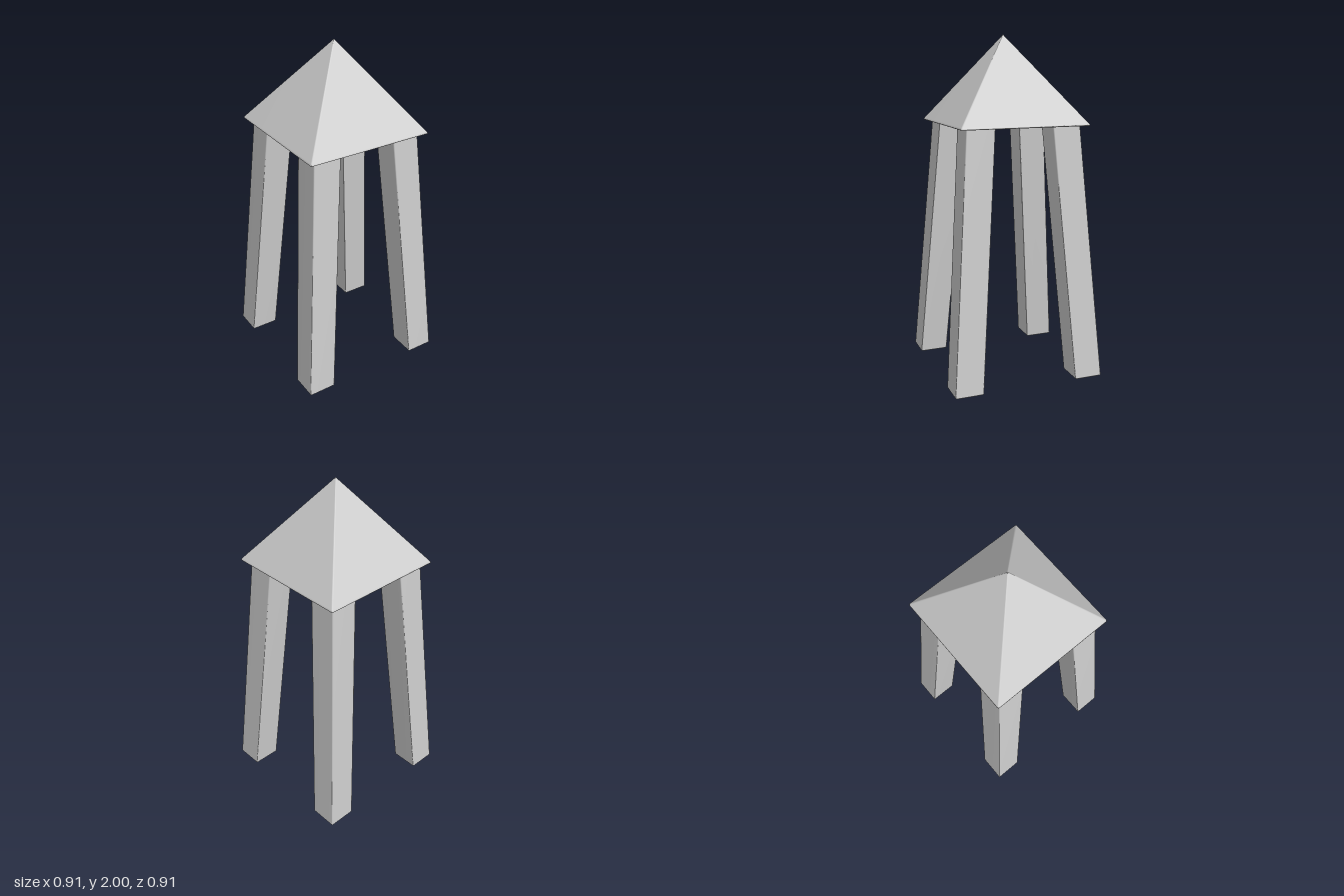
import * as THREE from 'three';

const material = new THREE.MeshStandardMaterial({ color: 0xcccccc });

// Closed loft through round-cornered squares, each { half, y, r, cx, cz }
function loft(rings) {
  const pos = [], index = [], STEPS = 2, n = 4 * (STEPS + 1);
  for (const { half, y, r, cx = 0, cz = 0 } of rings) {
    for (let c = 0; c < 4; c++) {
      const mid = (c + 0.5) * Math.PI / 2;
      for (let s = 0; s <= STEPS; s++) {
        const a = (c + s / STEPS) * Math.PI / 2;
        pos.push(
          cx + Math.sign(Math.cos(mid)) * (half - r) + Math.cos(a) * r, y,
          cz + Math.sign(Math.sin(mid)) * (half - r) + Math.sin(a) * r);
      }
    }
  }
  for (let k = 0; k < rings.length - 1; k++) {
    for (let i = 0; i < n; i++) {
      const a = k * n + i, b = k * n + (i + 1) % n;
      index.push(b, a, a + n, b, a + n, b + n);
    }
  }
  // End caps
  const first = rings[0], last = rings[rings.length - 1];
  const bottom = pos.length / 3, top = bottom + 1, start = (rings.length - 1) * n;
  pos.push(first.cx ?? 0, first.y, first.cz ?? 0, last.cx ?? 0, last.y, last.cz ?? 0);
  for (let i = 0; i < n; i++) {
    const j = (i + 1) % n;
    index.push(bottom, i, j, top, start + j, start + i);
  }
  const geometry = new THREE.BufferGeometry();
  geometry.setAttribute('position', new THREE.Float32BufferAttribute(pos, 3));
  geometry.setIndex(index);
  geometry.computeVertexNormals();
  return geometry;
}

// Square leg leaning towards the centre, with level ends and softened edges
function leg(sx, sz) {
  const HALF = 0.084, BEVEL = 0.006, TOP = 1.5;
  const ring = (y, inset) => {
    const c = 0.371 - 0.115 * y / TOP;
    return { half: HALF - inset, y, r: BEVEL, cx: sx * c, cz: sz * c };
  };
  return loft([ring(0, 0.005), ring(0.005, 0), ring(TOP - 0.005, 0), ring(TOP, 0.005)]);
}

export function createModel() {
  const group = new THREE.Group();
  const add = (name, geometry) => {
    const mesh = new THREE.Mesh(geometry, material);
    mesh.name = name;
    group.add(mesh);
  };

  // Pyramid roof with a slightly softened rim and tip
  add('roof', loft([
    { half: 0.379, y: 1.49, r: 0.006 },
    { half: 0.385, y: 1.493, r: 0.008 },
    { half: 0.384, y: 1.498, r: 0.008 },
    { half: 0.38, y: 1.504, r: 0.008 },
    { half: 0.005, y: 1.996, r: 0.003 },
    { half: 0.002, y: 2, r: 0.001 },
  ]));

  // Four splayed legs
  for (const [side, sx] of [['Left', 1], ['Right', -1]]) {
    add('front' + side + 'Leg', leg(sx, 1));
    add('back' + side + 'Leg', leg(sx, -1));
  }
  return group;
}
